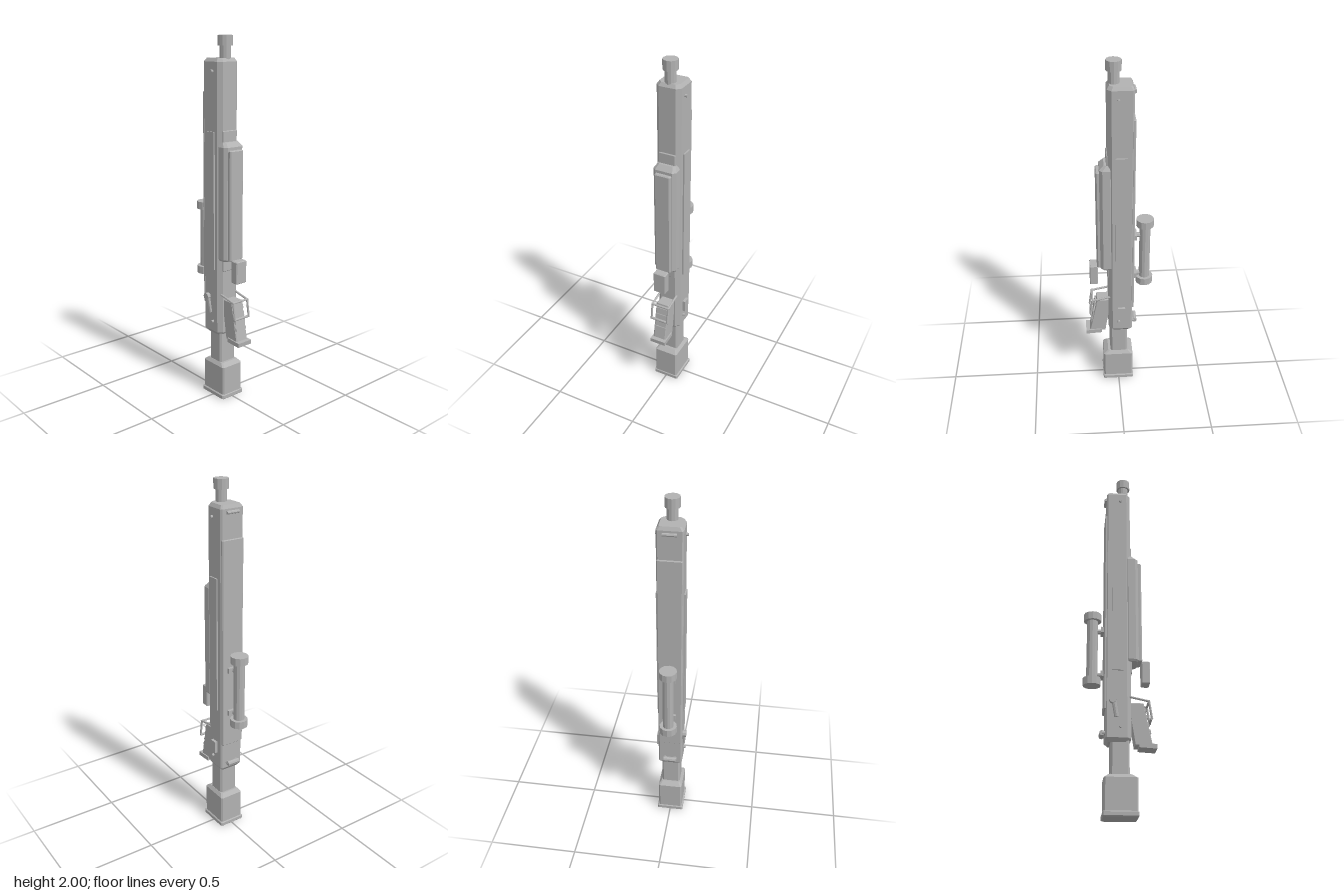
import * as THREE from 'three';

const gunmetal = new THREE.MeshStandardMaterial({ color: 0xb2b2b2, flatShading: true });
gunmetal.name = 'grey metal';

// Prism rising along y. Each section: [y, halfWidth, zBack, zFront, backChamfer, frontChamfer]
function loft(sections) {
  const rings = sections.map(([y, w, zb, zf, cb, cf]) => {
    const half = [[w - cf, zf], [w, zf - cf], [w, zb + cb], [w - cb, zb]];
    const other = half.slice().reverse().map(([x, z]) => [-x, z]);
    return [...half, ...other].map(([x, z]) => [x, y, z]);
  });
  const pos = [];
  const tri = (a, b, c) => pos.push(...a, ...b, ...c);
  for (let r = 0; r < rings.length - 1; r++) {
    for (let i = 0; i < 8; i++) {
      const j = (i + 1) % 8, lo = rings[r], hi = rings[r + 1];
      tri(lo[i], lo[j], hi[j]);
      tri(lo[i], hi[j], hi[i]);
    }
  }
  const bottom = rings[0], top = rings[rings.length - 1];
  for (let i = 1; i < 7; i++) {
    tri(top[0], top[i], top[i + 1]);
    tri(bottom[0], bottom[i + 1], bottom[i]);
  }
  const g = new THREE.BufferGeometry();
  g.setAttribute('position', new THREE.Float32BufferAttribute(pos, 3));
  g.computeVertexNormals();
  return g;
}

// Block with chamfered corners and bevelled ends
function block(y0, y1, w, zb, zf, c, bevel) {
  const b = bevel;
  return loft([
    [y0, w - b, zb + b, zf - b, c, c],
    [y0 + b, w, zb, zf, c, c],
    [y1 - b, w, zb, zf, c, c],
    [y1, w - b, zb + b, zf - b, c, c],
  ]);
}

export function createModel() {
  const model = new THREE.Group();
  model.name = 'rifle';

  function add(name, geometry, x = 0, y = 0, z = 0, parent = model) {
    const mesh = new THREE.Mesh(geometry, gunmetal);
    mesh.name = name;
    mesh.position.set(x, y, z);
    parent.add(mesh);
    return mesh;
  }
  // Round bar between two points
  function rod(name, a, b, r, sides = 8) {
    const p = new THREE.Vector3(...a), q = new THREE.Vector3(...b);
    const mesh = add(name, new THREE.CylinderGeometry(r, r, p.distanceTo(q), sides));
    mesh.position.copy(p).lerp(q, 0.5);
    mesh.quaternion.setFromUnitVectors(new THREE.Vector3(0, 1, 0), q.sub(p).normalize());
    return mesh;
  }

  // Stock
  add('buttPlate', block(0, 0.028, 0.076, -0.088, 0.092, 0.006, 0.005));
  add('stock', loft([
    [0.02, 0.069, -0.083, 0.088, 0.008, 0.008],
    [0.192, 0.069, -0.083, 0.088, 0.008, 0.008],
    [0.21, 0.055, -0.06, 0.062, 0.008, 0.008],
  ]));
  add('stockNeck', block(0.2, 0.395, 0.053, -0.05, 0.048, 0.01, 0.003));

  // Receiver with wide chamfers along its front corners
  add('receiver', loft([
    [0.373, 0.053, -0.062, 0.045, 0.008, 0.018],
    [0.393, 0.068, -0.077, 0.057, 0.008, 0.022],
    [1.868, 0.068, -0.077, 0.057, 0.008, 0.022],
    [1.886, 0.056, -0.068, 0.045, 0.008, 0.018],
  ]));
  add('rearCover', block(0.545, 1.715, 0.065, -0.086, -0.07, 0.004, 0.003));
  add('frontPlate', block(0.75, 1.518, 0.047, 0.045, 0.063, 0.003, 0.003));

  // Barrel
  add('barrel', new THREE.CylinderGeometry(0.029, 0.029, 0.12, 12), 0, 1.92, 0.021);
  add('muzzle', new THREE.CylinderGeometry(0.039, 0.039, 0.052, 12), 0, 1.974, 0.021);

  // Handguard
  add('handguard', loft([
    [0.815, 0.06, 0.04, 0.093, 0.004, 0.014],
    [0.825, 0.065, 0.04, 0.1, 0.004, 0.016],
    [1.435, 0.065, 0.04, 0.1, 0.004, 0.016],
    [1.46, 0.05, 0.04, 0.075, 0.004, 0.012],
  ]));
  add('handguardRib', block(0.82, 1.42, 0.046, 0.09, 0.119, 0.007, 0.005));
  add('handguardCatch', block(0.7, 0.825, 0.036, 0.115, 0.16, 0.004, 0.004));

  // Side plates and cross pins
  for (const s of [-1, 1]) {
    add('sidePlate', new THREE.BoxGeometry(0.012, 0.755, 0.062), s * 0.07, 1.133, -0.014);
  }
  for (const y of [0.45, 1.82]) rod('crossPin', [-0.081, y, 0], [0.081, y, 0], 0.008);

  // Controls on each side
  add('ejectorPlate', new THREE.BoxGeometry(0.02, 0.07, 0.042), 0.074, 0.517, -0.015);
  const lever = rod('selectorLever', [-0.07, 0.5, -0.02], [-0.076, 0.59, -0.035], 0.012);
  lever.scale.x = 0.8;
  rod('selectorKnob', [-0.06, 0.59, -0.04], [-0.088, 0.59, -0.04], 0.02);

  // Sling bars
  for (const [y, z, r] of [[0.425, -0.092, 0.014], [1.85, -0.081, 0.009]]) {
    rod('slingBar', [-0.036, y, z], [0.036, y, z], r);
    for (const x of [-0.028, 0.028]) rod('slingStud', [x, y, -0.06], [x, y, z], r * 0.8);
  }

  // Sight tube with end caps and mounts
  add('sightTube', new THREE.CylinderGeometry(0.03, 0.03, 0.4, 12), 0, 0.898, -0.147);
  for (const y of [0.71, 1.085]) {
    add('sightCap', new THREE.CylinderGeometry(0.048, 0.048, 0.042, 12), 0, y, -0.147);
  }
  for (const y of [0.75, 1.005]) {
    rod('sightMount', [0, y, -0.08], [0, y, -0.14], 0.014);
    add('mountFoot', new THREE.BoxGeometry(0.07, 0.03, 0.02), 0, y, -0.092);
  }

  // Raked pistol grip, extruded across x from its side outline (z, y)
  const outline = [[0.12, 0.585], [0.045, 0.585], [0.08, 0.365], [0.163, 0.37]];
  const shape = new THREE.Shape(outline.map(([z, y]) => new THREE.Vector2(-z, y)));
  const gripGeometry = new THREE.ExtrudeGeometry(shape, {
    depth: 0.066, bevelEnabled: true, bevelSize: 0.004, bevelThickness: 0.006, bevelSegments: 1,
  });
  gripGeometry.translate(0, 0, -0.033).rotateY(Math.PI / 2);
  // rotateY(90 degrees) sends x to -z, so -z in the outline becomes +z
  add('grip', gripGeometry);
  add('gripBase', new THREE.BoxGeometry(0.092, 0.024, 0.092), 0, 0.36, 0.143).rotation.x = 0.06;
  for (let i = 0; i < 4; i++) {
    const t = 0.15 + i * 0.18;
    const ridge = add('gripRidge', new THREE.BoxGeometry(0.07, 0.02, 0.018),
      0, 0.585 - t * 0.215, 0.12 + t * 0.043);
    ridge.rotation.x = -0.2;
  }

  // Trigger guard: a bent bar each side, tied by cross bars
  for (const s of [-1, 1]) {
    const x = s * 0.05;
    rod('guardUpperBar', [x, 0.618, 0.04], [x, 0.595, 0.15], 0.006);
    rod('guardFrontBar', [x, 0.595, 0.15], [x, 0.5, 0.164], 0.006);
  }
  rod('guardCrossBar', [-0.055, 0.595, 0.15], [0.055, 0.595, 0.15], 0.006);
  rod('guardCrossBar', [-0.055, 0.5, 0.16], [0.055, 0.5, 0.16], 0.007);

  return model;
}
